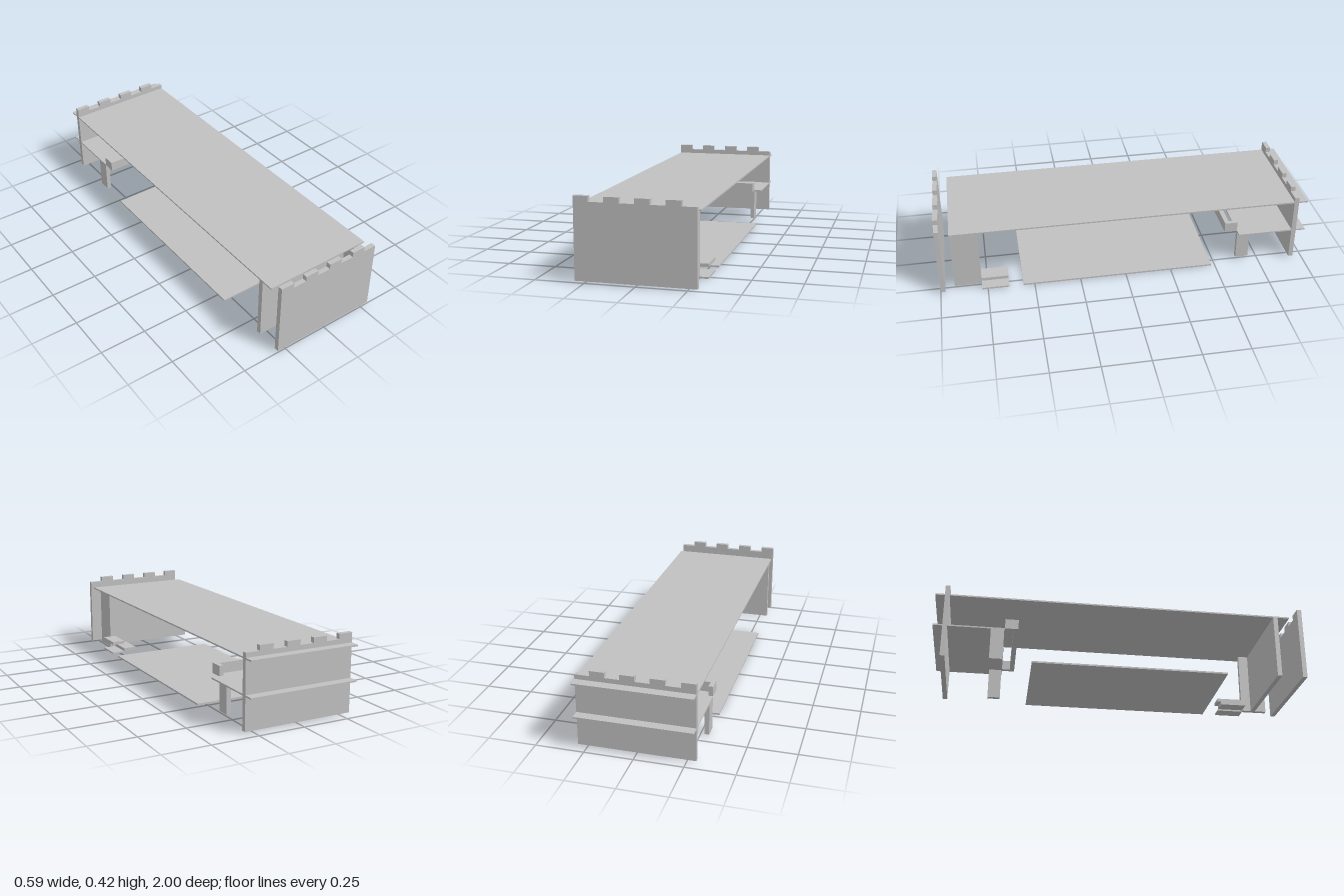
import * as THREE from 'three';

const W = 0.297;        // half width
const T = 0.025;        // board thickness

export function createModel() {
  const model = new THREE.Group();
  model.name = 'playBed';
  const board = new THREE.MeshStandardMaterial({ color: 0xc0c0c0 });
  board.name = 'light grey board';

  // Box given by its limits on each axis
  function slab(name, [x0, x1], [y0, y1], [z0, z1]) {
    const mesh = new THREE.Mesh(new THREE.BoxGeometry(x1 - x0, y1 - y0, z1 - z0), board);
    mesh.position.set((x0 + x1) / 2, (y0 + y1) / 2, (z0 + z1) / 2);
    mesh.name = name;
    model.add(mesh);
  }

  // End wall with battlements along the top
  function battlementWall(name, z) {
    const shape = new THREE.Shape();
    shape.moveTo(W, 0.01);
    shape.lineTo(W, 0.39);
    const step = W / 4;
    for (let i = 3; i >= 0; i--) {
      const x = -W + i * 2 * step;
      shape.lineTo(x + step, 0.39);
      shape.lineTo(x + step, 0.417);
      shape.lineTo(x, 0.417);
      if (i > 0) shape.lineTo(x, 0.39);
    }
    shape.lineTo(-W, 0.01);
    const mesh = new THREE.Mesh(
      new THREE.ExtrudeGeometry(shape, { depth: T, bevelEnabled: false }), board);
    mesh.position.z = z;
    mesh.name = name;
    model.add(mesh);
  }
  battlementWall('frontWall', 1 - T);
  battlementWall('backWall', -0.95);

  // Long horizontal sheets
  slab('upperDeck', [-W, W], [0.358, 0.366], [-1, 0.925]);
  slab('floorPanel', [-W, W], [0, 0.009], [-0.48, 0.56]);
  slab('shelf', [-W, W], [0.18, 0.188], [-1, -0.627]);

  // T-shaped support behind the front wall
  slab('innerWall', [-W, 0.23], [0.01, 0.358], [0.835, 0.86]);
  slab('supportPost', [0.23, 0.254], [0.01, 0.358], [0.78, 0.925]);

  // Steps beside the support
  slab('bottomStep', [0.223, W], [0, 0.009], [0.637, 0.78]);
  slab('middleStep', [0.148, 0.223], [0.009, 0.028], [0.637, 0.78]);
  slab('topStep', [0.223, W], [0.058, 0.075], [0.637, 0.78]);

  // Shelf legs and the rail's end returns
  for (const [side, x] of [['left', 0.23], ['right', -W]]) {
    slab(side + 'ShelfLeg', [x, x + 0.024], [0.01, 0.18], [-0.7, -0.63]);
    slab(side + 'RailEnd', [x, x + 0.024], [0.186, 0.24], [-0.627, -0.557]);
  }
  slab('shelfRail', [-W + 0.024, 0.23], [0.186, 0.24], [-0.582, -0.557]);

  return model;
}
